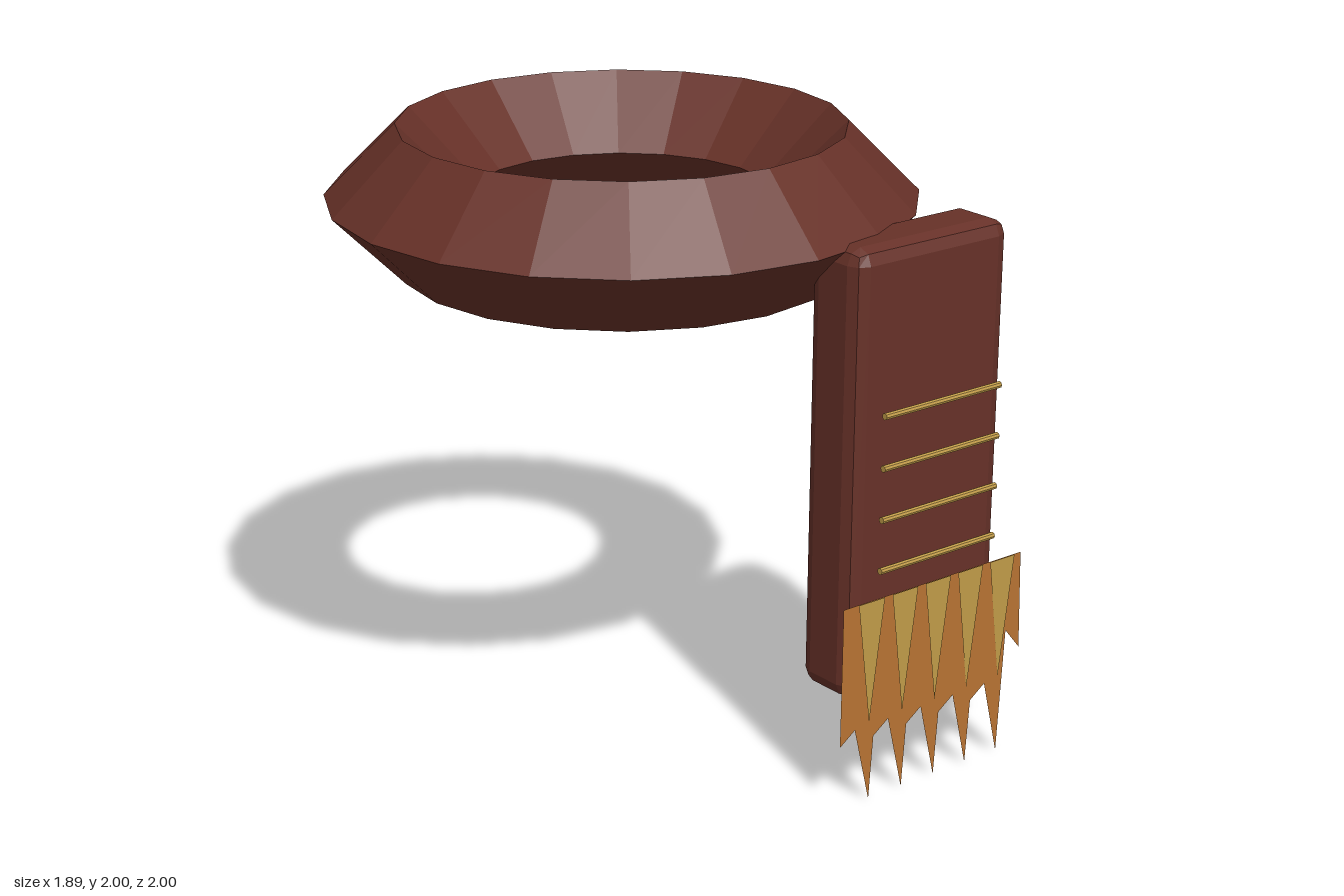
import * as THREE from 'three';
import { RoundedBoxGeometry } from 'three/addons/geometries/RoundedBoxGeometry.js';

function makeMaterial(name, color) {
  const material = new THREE.MeshStandardMaterial({ color, flatShading: true });
  material.name = name;
  return material;
}

export function createModel() {
  const model = new THREE.Group();
  model.name = 'scarf';
  const wool = makeMaterial('brown wool', 0x673128);
  const copper = makeMaterial('copper fringe', 0xb87333);
  copper.side = THREE.DoubleSide;
  const gold = makeMaterial('gold thread', 0xc09b48);

  const add = (name, geometry, material, x, y, z) => {
    const mesh = new THREE.Mesh(geometry, material);
    mesh.name = name;
    mesh.position.set(x, y, z);
    model.add(mesh);
    return mesh;
  };

  // Faceted neck loop with a diamond cross-section
  const loop = new THREE.TorusGeometry(0.715, 0.23, 4, 20).rotateX(Math.PI / 2);
  add('neckLoop', loop, wool, 0, 1.77, -0.055);

  // Hanging end with chamfered edges
  add('hangingEnd', new RoundedBoxGeometry(0.625, 1.46, 0.225, 1, 0.05), wool, 0.418, 1.055, 0.835);

  // Thin horizontal threads in front of the hanging end
  for (let i = 0; i < 4; i++) {
    const thread = new THREE.CylinderGeometry(0.011, 0.011, 0.48, 8).rotateZ(Math.PI / 2);
    add('thread' + (i + 1), thread, gold, 0.432, 0.765 + i * 0.168, 0.987);
  }

  // Ragged fringe sheet: five pointed strands and a short last one
  const pitch = 0.139;
  const fringe = new THREE.Shape();
  fringe.moveTo(0.04, 0.68);
  for (let i = 0; i < 5; i++) {
    const x = 0.04 + i * pitch;
    fringe.lineTo(x, 0.215);
    fringe.lineTo(x + 0.06, 0.257);
    fringe.lineTo(x + 0.125, 0);
  }
  fringe.lineTo(0.742, 0.42);
  fringe.lineTo(0.805, 0.345);
  fringe.lineTo(0.793, 0.68);
  add('fringe', new THREE.ShapeGeometry(fringe), copper, 0, 0, 0.996);

  // Gold wedges on the front of the fringe
  for (let i = 0; i < 5; i++) {
    const wedge = new THREE.Shape();
    wedge.moveTo(-0.055, 0.68);
    wedge.lineTo(0.001, 0.268);
    wedge.lineTo(0.052, 0.68);
    add('goldWedge' + (i + 1), new THREE.ShapeGeometry(wedge), gold, 0.154 + i * pitch, 0, 1);
  }
  return model;
}
